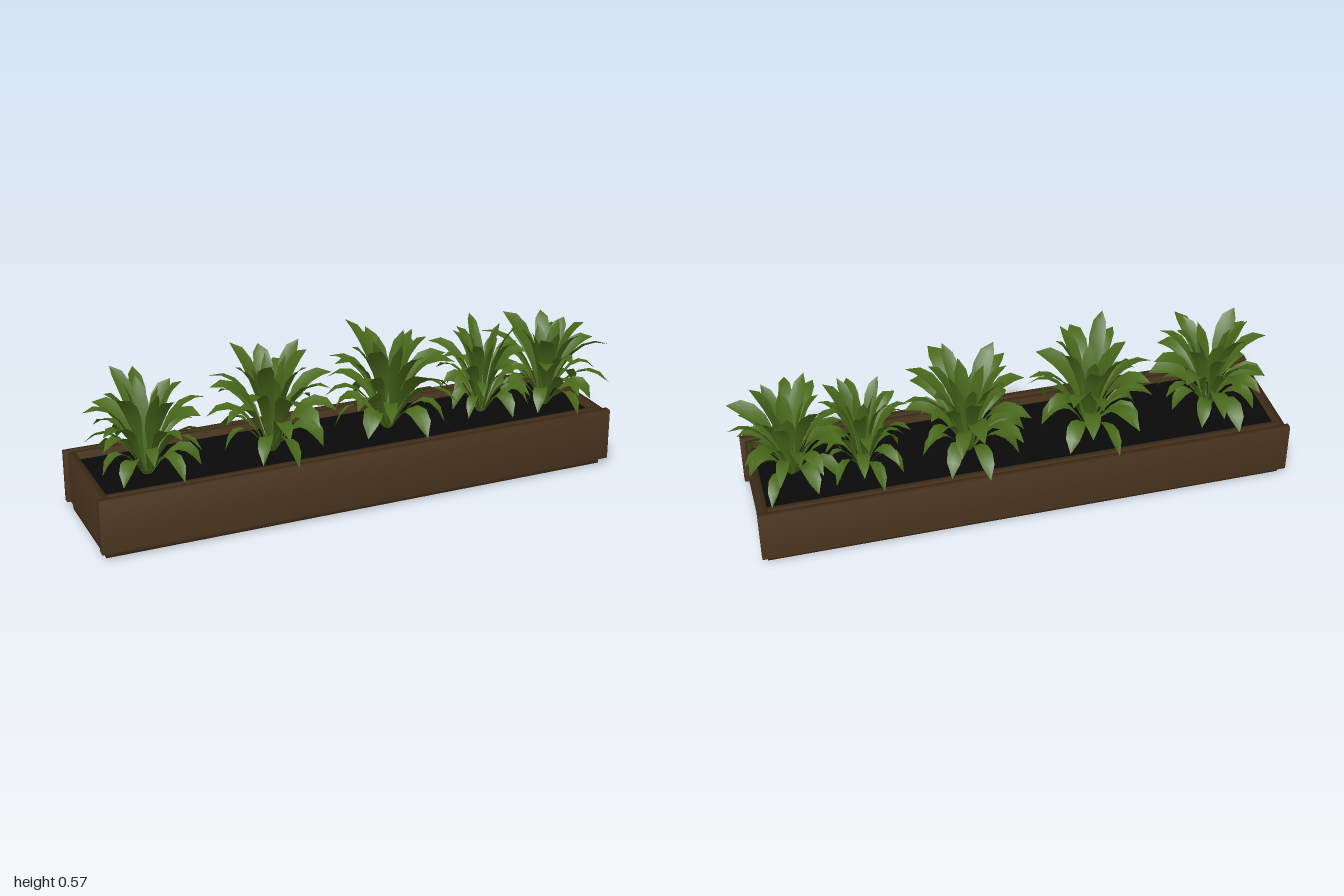
import * as THREE from 'three';
import { mergeVertices } from 'three/addons/utils/BufferGeometryUtils.js';

const wood = new THREE.MeshStandardMaterial({ name: 'darkWood', color: 0x4c361f });
const soilMat = new THREE.MeshStandardMaterial({ name: 'soil', color: 0x090909 });
const leafMat = new THREE.MeshStandardMaterial({ name: 'leafGreen', color: 0x49691b, side: THREE.DoubleSide });

// Small seeded generator
function makeRandom(seed) {
  let s = seed;
  return () => ((s = (s * 16807) % 2147483647) / 2147483647);
}

// Box given by its lower and upper corners
function board(name, material, x0, x1, y0, y1, z0, z1, smooth = true) {
  let geometry = new THREE.BoxGeometry(x1 - x0, y1 - y0, z1 - z0);
  if (smooth) {
    // Shared corners give the soft shading of the boards
    geometry.deleteAttribute('normal');
    geometry.deleteAttribute('uv');
    geometry = mergeVertices(geometry);
    geometry.computeVertexNormals();
  }
  const mesh = new THREE.Mesh(geometry, material);
  mesh.position.set((x0 + x1) / 2, (y0 + y1) / 2, (z0 + z1) / 2);
  mesh.name = name;
  return mesh;
}

// Lance-shaped leaf swept along an arch, with a shallow fold along the middle
const WIDTHS = [0.14, 0.22, 0.5, 0.88, 1, 0.8, 0.02];
function addLeaf(out, angle, tipR, tipY, midR, midY, width, twist) {
  const curve = new THREE.QuadraticBezierCurve(
    new THREE.Vector2(0.012, 0.19), new THREE.Vector2(midR, midY), new THREE.Vector2(tipR, tipY));
  const c = Math.cos(angle), s = Math.sin(angle);
  const first = out.positions.length / 3;
  WIDTHS.forEach((w, i) => {
    const t = i / (WIDTHS.length - 1);
    const p = curve.getPoint(t), d = curve.getTangent(t);
    for (const side of [-1, 0, 1]) {
      const across = side * w * width / 2;
      const fold = (side ? 0.12 * w * width : 0) + across * twist;
      const r = p.x - d.y * fold, y = p.y + d.x * fold;
      out.positions.push(r * c - across * s, y, r * s + across * c);
    }
    if (i === 0) return;
    for (let k = 0; k < 2; k++) {
      const a = first + (i - 1) * 3 + k, b = a + 3;
      out.indices.push(a, a + 1, b, a + 1, b + 1, b);
    }
  });
}

// Rings of leaves from heart to drooping skirt:
// count, tip radius and mid radius as shares of the reach, tip y, mid y, width
const RINGS = [
  [4, 0.32, 0.1, 0.51, 0.4, 0.054],
  [7, 0.66, 0.24, 0.53, 0.49, 0.06],
  [8, 1.0, 0.38, 0.44, 0.48, 0.058],
  [8, 0.98, 0.48, 0.335, 0.44, 0.056],
  [8, 0.88, 0.6, 0.235, 0.39, 0.054],
];

function makePlant(name, seed, x, z, reachX, reachZ, height) {
  const random = makeRandom(seed);
  const vary = (amount) => 1 + (random() - 0.5) * amount;
  const out = { positions: [], indices: [] };
  RINGS.forEach(([count, tipR, midR, tipY, midY, width], ring) => {
    for (let i = 0; i < count; i++) {
      const angle = ((i + ring * 0.45 + (random() - 0.5) * 0.5) / count) * Math.PI * 2;
      // Leaves spread further across the box than along it
      const reach = Math.hypot(reachX * Math.cos(angle), reachZ * Math.sin(angle)) * (0.78 + 0.22 * random());
      const lift = height * vary(0.16);
      const scaleY = (y) => 0.19 + (y - 0.19) * lift;
      addLeaf(out, angle, tipR * reach, scaleY(tipY), midR * reach, scaleY(midY),
        width * (reachX / 0.23) * vary(0.3), (random() - 0.5) * 0.9);
    }
  });
  const geometry = new THREE.BufferGeometry();
  geometry.setAttribute('position', new THREE.Float32BufferAttribute(out.positions, 3));
  geometry.setIndex(out.indices);
  geometry.computeVertexNormals();
  const mesh = new THREE.Mesh(geometry, leafMat);
  mesh.position.set(x, 0, z);
  mesh.name = name;
  return mesh;
}

export function createModel() {
  const model = new THREE.Group();
  model.name = 'planterBox';

  // Trough
  const trough = new THREE.Group();
  trough.name = 'trough';
  trough.add(
    board('basePlate', wood, -0.98, 0.917, 0, 0.027, -0.193, 0.218),
    board('frontBoard', wood, -1, 0.937, 0.028, 0.22, 0.219, 0.246),
    board('backBoard', wood, -1, 0.937, 0.028, 0.22, -0.217, -0.194),
    board('leftEnd', wood, 0.898, 0.922, 0.028, 0.22, -0.19, 0.214),
    board('rightEnd', wood, -0.987, -0.963, 0.028, 0.22, -0.19, 0.214),
    board('frontLiner', wood, -0.963, 0.898, 0.028, 0.22, 0.194, 0.214),
    board('backLiner', wood, -0.963, 0.898, 0.028, 0.22, -0.19, -0.168),
    board('soil', soilMat, -0.963, 0.898, 0.028, 0.195, -0.168, 0.194, false));
  model.add(trough);

  // Plants: seed, x, z, reach along x and z, height
  const plants = new THREE.Group();
  plants.name = 'plants';
  [
    [101, -0.77, 0.03, 0.225, 0.295, 0.98],
    [2027, -0.31, 0.02, 0.235, 0.3, 1.04],
    [303, 0.15, 0, 0.24, 0.325, 1.04],
    [4409, 0.53, 0, 0.18, 0.255, 0.95],
    [577, 0.78, 0.03, 0.22, 0.295, 0.93],
  ].forEach((p, i) => plants.add(makePlant('plant' + (i + 1), ...p)));
  model.add(plants);
  return model;
}
